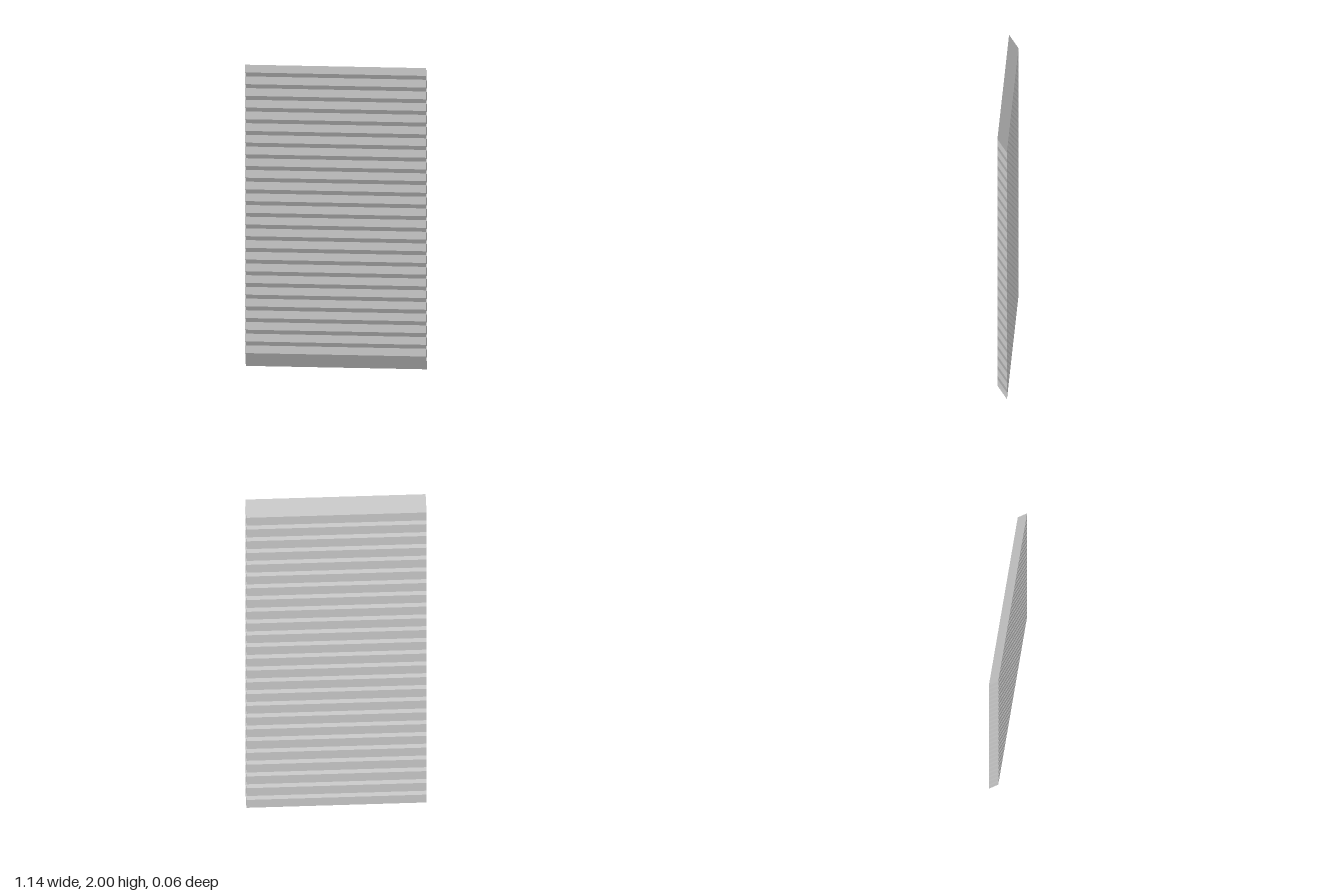
import * as THREE from 'three';

const COUNT = 25;            // slats in the louvre
const PITCH = 1 / 13;        // vertical spacing
const FACE = PITCH * 2 / 3;  // height of a slat's upright edge
const DROP = PITCH * 4 / 3;  // fall of a slat from front to back
const WIDTH = 1.14;
const DEPTH = 0.06;

// Box sheared so its back edge hangs below its front edge
function slatGeometry() {
  const geometry = new THREE.BoxGeometry(WIDTH, FACE, DEPTH);
  const p = geometry.attributes.position;
  for (let i = 0; i < p.count; i++) {
    p.setY(i, p.getY(i) + (p.getZ(i) / DEPTH) * DROP);
  }
  geometry.computeVertexNormals();
  return geometry;
}

export function createModel() {
  const group = new THREE.Group();
  group.name = 'louvrePanel';
  const material = new THREE.MeshStandardMaterial({ color: 0xcccccc, flatShading: true });
  const geometry = slatGeometry();

  // Evenly stacked sloping slats
  for (let i = 0; i < COUNT; i++) {
    const slat = new THREE.Mesh(geometry, material);
    slat.name = `slat${i + 1}`;
    slat.position.y = (FACE + DROP) / 2 + i * PITCH;
    group.add(slat);
  }
  return group;
}
